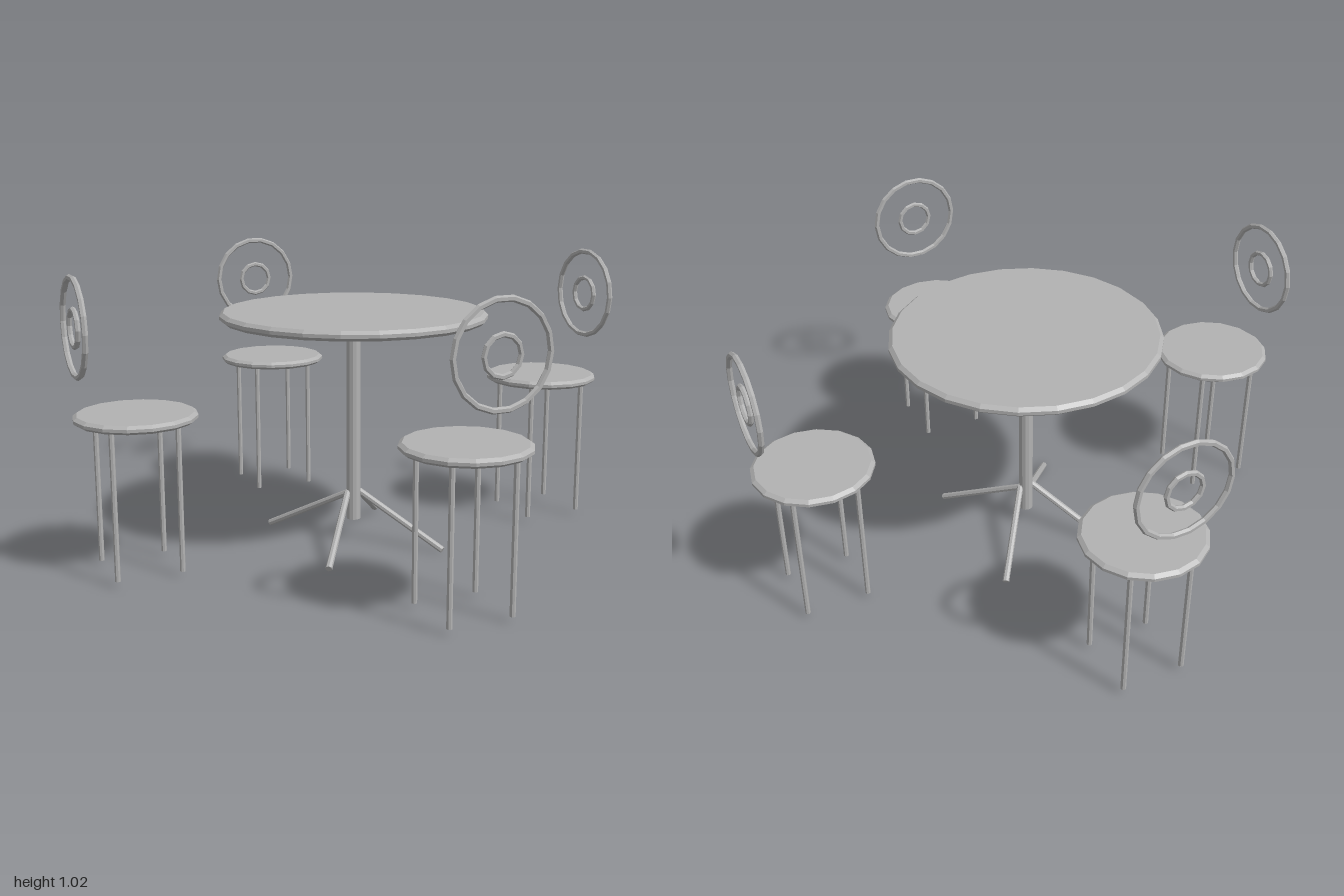
import * as THREE from 'three';

const grey = new THREE.MeshStandardMaterial({ color: 0xb2b2b2, flatShading: true });
grey.name = 'grey metal';

function add(parent, name, geometry, x = 0, y = 0, z = 0) {
  const mesh = new THREE.Mesh(geometry, grey);
  mesh.name = name;
  mesh.position.set(x, y, z);
  parent.add(mesh);
  return mesh;
}

// Round slab with a bevelled rim, centred on its mid height
function disc(radius, height, sides) {
  const h = height / 2, bevel = 0.013;
  const profile = [
    [0, -h], [radius - bevel, -h], [radius, -h * 0.35],
    [radius, h * 0.35], [radius - bevel, h], [0, h],
  ].map(([r, y]) => new THREE.Vector2(r, y));
  return new THREE.LatheGeometry(profile, sides);
}

// Straight round bar between two points
function bar(parent, name, from, to, radius, sides) {
  const dir = to.clone().sub(from);
  const mid = from.clone().add(to).multiplyScalar(0.5);
  const mesh = add(parent, name, new THREE.CylinderGeometry(radius, radius, dir.length(), sides), mid.x, mid.y, mid.z);
  mesh.quaternion.setFromUnitVectors(new THREE.Vector3(0, 1, 0), dir.normalize());
  return mesh;
}

function createTable() {
  const table = new THREE.Group();
  table.name = 'table';
  add(table, 'tableTop', disc(0.47, 0.034, 24), 0, 0.828, 0);
  add(table, 'column', new THREE.CylinderGeometry(0.025, 0.025, 0.74, 12), 0, 0.45, 0);
  // Four splayed feet
  for (const sx of [-1, 1]) {
    for (const sz of [-1, 1]) {
      bar(table, 'foot', new THREE.Vector3(sx * 0.024, 0.18, 0),
        new THREE.Vector3(sx * 0.22, 0.011, sz * 0.272), 0.012, 8);
    }
  }
  return table;
}

// Chair placed on +z, with its floating ring back on the outer side
function createChair() {
  const chair = new THREE.Group();
  chair.name = 'chair';
  const z = 0.791;
  add(chair, 'seat', disc(0.206, 0.029, 16), 0, 0.541, z);
  for (const sx of [-1, 1]) {
    for (const sz of [-1, 1]) {
      add(chair, 'chairLeg', new THREE.CylinderGeometry(0.0095, 0.0095, 0.51, 8), sx * 0.11, 0.277, z + sz * 0.11);
    }
  }
  add(chair, 'outerBackRing', new THREE.TorusGeometry(0.16, 0.01, 6, 18), 0, 0.849, 0.979);
  add(chair, 'innerBackRing', new THREE.TorusGeometry(0.061, 0.009, 6, 12), 0, 0.847, 0.979);
  return chair;
}

export function createModel() {
  const model = new THREE.Group();
  model.name = 'diningSet';
  model.add(createTable());
  // Four chairs around the table
  for (let i = 0; i < 4; i++) {
    const chair = createChair();
    chair.rotation.y = (i * Math.PI) / 2;
    model.add(chair);
  }
  return model;
}
